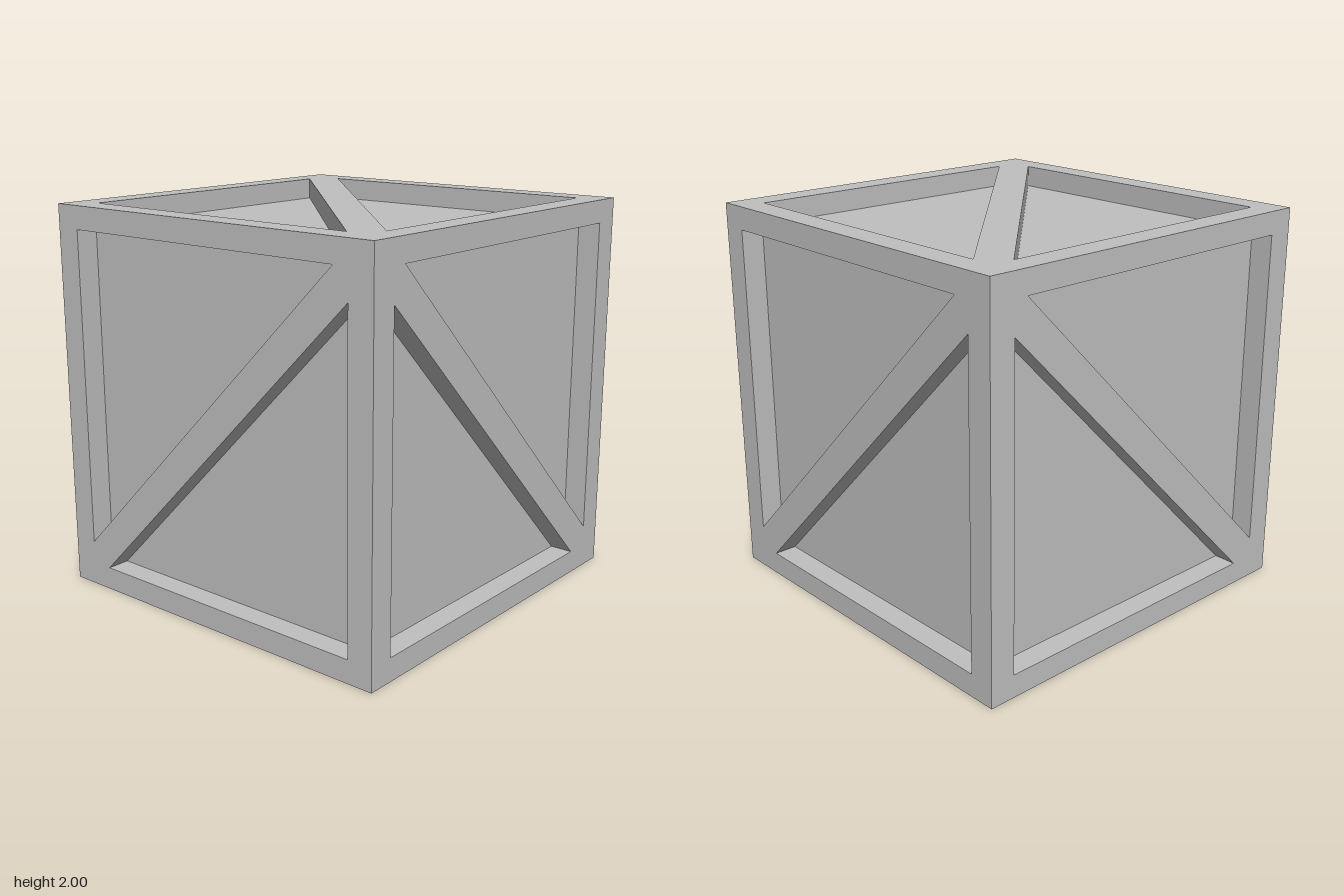
import * as THREE from 'three';

export function createModel() {
  const crate = new THREE.Group();
  crate.name = 'crate';
  const grey = new THREE.MeshStandardMaterial({ color: 0xc0c0c0 });
  grey.name = 'plain grey';

  const W = 0.137; // beam width in plan
  const H = 0.119; // rail height
  const D = 0.12;  // panel recess
  const IN = 1 - W; // half width of an opening
  const UP = 1 - H; // half height of an opening

  function add(name, geometry, x = 0, y = 0, z = 0, parent = crate) {
    const mesh = new THREE.Mesh(geometry, grey);
    mesh.name = name;
    mesh.position.set(x, y, z);
    parent.add(mesh);
    return mesh;
  }

  // Recessed panels, formed by one inner box
  add('panels', new THREE.BoxGeometry(2 - 2 * D, 2 - 2 * 0.112, 2 - 2 * D), 0, 1, 0);

  // Corner posts
  for (const x of [-1, 1]) for (const z of [-1, 1]) {
    add('cornerPost', new THREE.BoxGeometry(W, 2, W), x * (1 - W / 2), 1, z * (1 - W / 2));
  }

  // Top and bottom rails between the posts
  for (const y of [H / 2, 2 - H / 2]) for (const s of [-1, 1]) {
    add('crossRail', new THREE.BoxGeometry(2 * IN, H, W), 0, y, s * (1 - W / 2));
    add('sideRail', new THREE.BoxGeometry(W, H, 2 * IN), s * (1 - W / 2), y, 0);
  }

  // Diagonal brace fitted into an opening of half size a by b, facing +z;
  // its edges are the lines y = x + lo and y = x + hi, optionally mirrored
  function brace(name, a, b, lo, hi, mirror, rotX, rotY) {
    const m = mirror ? -1 : 1;
    const outline = [
      [-a, -b], [-b - lo, -b], [a, a + lo],
      [a, b], [b - hi, b], [-a, -a + hi],
    ].map(([x, y]) => new THREE.Vector2(m * x, y));
    const geometry = new THREE.ExtrudeGeometry(new THREE.Shape(outline), { depth: D + 0.01, bevelEnabled: false });
    const pivot = new THREE.Group();
    pivot.name = name;
    pivot.position.y = 1;
    pivot.rotation.set(rotX, rotY, 0);
    add(name + 'Board', geometry, 0, 0, 1 - D - 0.01, pivot);
    crate.add(pivot);
  }

  brace('frontBrace', IN, UP, -0.133, 0.1, false, 0, 0);
  brace('backBrace', IN, UP, -0.133, 0.1, false, 0, Math.PI);
  brace('leftBrace', IN, UP, -0.145, 0.09, true, 0, Math.PI / 2);
  brace('rightBrace', IN, UP, -0.145, 0.09, true, 0, -Math.PI / 2);
  brace('topBrace', IN, IN, -0.12, 0.12, true, -Math.PI / 2, 0);

  return crate;
}
